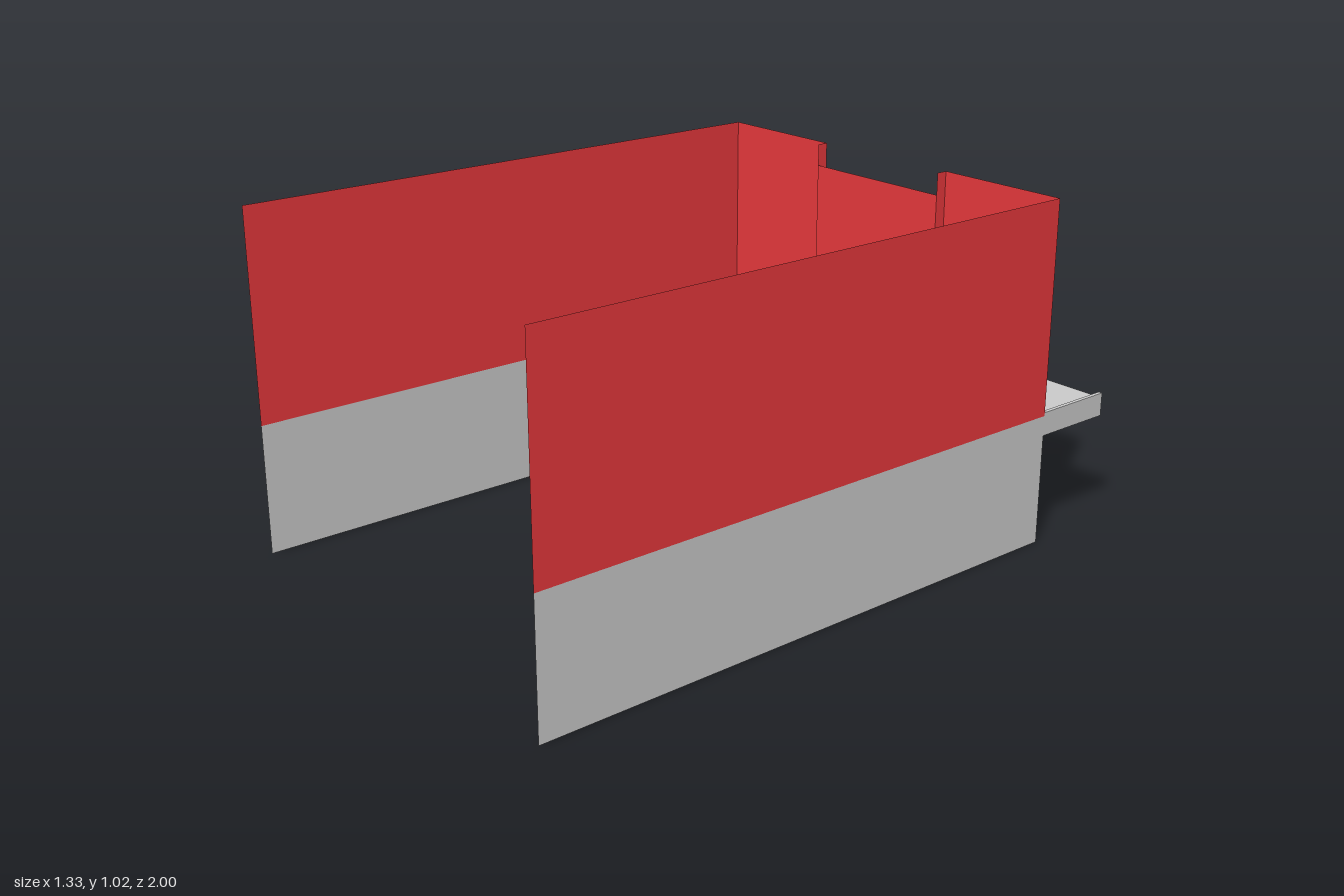
import * as THREE from 'three';

const paint = (color) => new THREE.MeshStandardMaterial({ color, side: THREE.DoubleSide });

export function createModel() {
  const model = new THREE.Group();
  const red = paint(0xe8393c), black = paint(0x0e0e0e), grey = paint(0xcccccc), doorGrey = paint(0xa1a1a1);

  const W = 0.665, D = 0.248;          // half widths of building and central bay
  const BACK = -0.745, INSET = -0.71;  // wall plane and recessed plane
  const TOP = 1.02;

  const add = (name, geometry, material) => {
    const mesh = new THREE.Mesh(geometry, material);
    mesh.name = name;
    model.add(mesh);
    return mesh;
  };
  // Sheet facing the rear
  const rearSheet = (name, x0, x1, y0, y1, z, mat) =>
    add(name, new THREE.PlaneGeometry(x1 - x0, y1 - y0).rotateY(Math.PI), mat)
      .position.set((x0 + x1) / 2, (y0 + y1) / 2, z);
  // Sheet facing sideways
  const sideSheet = (name, x, y0, y1, z0, z1, mat, dir) =>
    add(name, new THREE.PlaneGeometry(z1 - z0, y1 - y0).rotateY(dir * Math.PI / 2), mat)
      .position.set(x, (y0 + y1) / 2, (z0 + z1) / 2);
  // Horizontal sheet
  const flatSheet = (name, y, mat, dir) =>
    add(name, new THREE.PlaneGeometry(2 * D, INSET - BACK).rotateX(-dir * Math.PI / 2), mat)
      .position.set(0, y, (BACK + INSET) / 2);

  for (const s of [-1, 1]) {
    const side = s > 0 ? 'left' : 'right';
    // Long side walls
    sideSheet(side + 'UpperWall', s * W, 0.39, TOP, BACK, 1, red, s);
    sideSheet(side + 'LowerWall', s * W, 0, 0.39, BACK, 1, grey, s);
    // Facade either side of the central bay
    const [x0, x1] = s > 0 ? [D, W] : [-W, -D];
    rearSheet(side + 'UpperFacade', x0, x1, 0.355, TOP, BACK, red);
    rearSheet(side + 'ShopWindow', x0, x1, 0, 0.355, BACK, black);
    // Returns into the recesses
    sideSheet(side + 'UpperJamb', s * D, 0.493, TOP, BACK, INSET, red, -s);
    sideSheet(side + 'DoorJamb', s * D, 0, 0.325, BACK, INSET, black, -s);
  }

  // Central bay: recessed panel, ledge, band, soffit and door
  rearSheet('recessedPanel', -D, D, 0.493, 0.955, INSET, red);
  flatSheet('recessLedge', 0.493, red, 1);
  rearSheet('facadeBand', -D, D, 0.325, 0.493, BACK, red);
  flatSheet('doorSoffit', 0.325, red, -1);
  rearSheet('door', -D, D, 0, 0.325, INSET, doorGrey);

  // Canopy with black rear edges, divided by upright fins
  const depth = 1 + BACK, zMid = (BACK - 1) / 2;
  const trimmed = [grey, grey, grey, grey, grey, black];
  add('canopySlab', new THREE.BoxGeometry(2 * W - 0.01, 0.035, depth), trimmed)
    .position.set(0, 0.367, zMid);
  for (const x of [-W + 0.006, -D - 0.007, D + 0.007, W - 0.006])
    add('canopyFin', new THREE.BoxGeometry(0.012, 0.07, depth), trimmed)
      .position.set(x, 0.365, zMid);

  return model;
}
